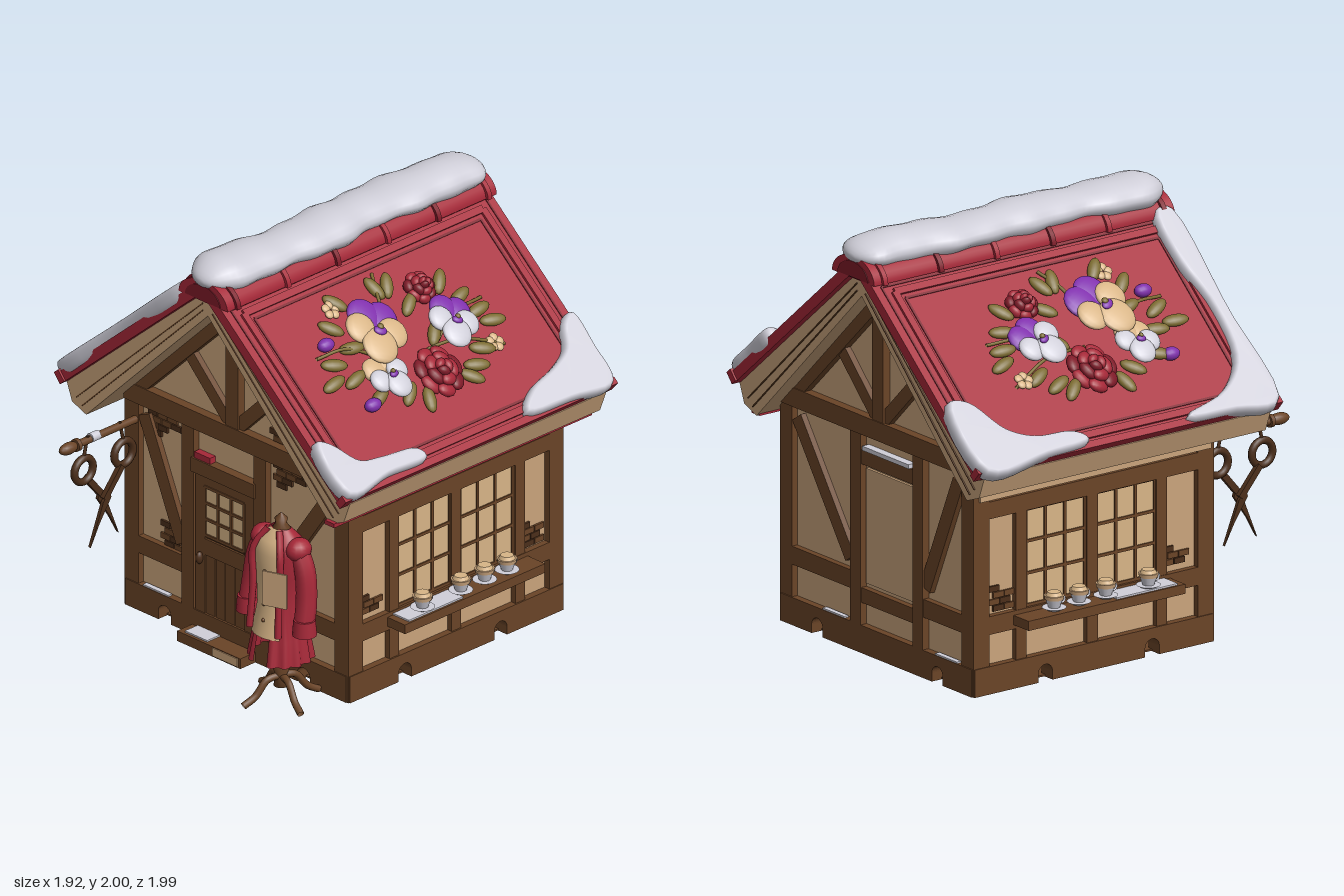
import * as THREE from 'three';
import { mergeVertices } from 'three/addons/utils/BufferGeometryUtils.js';

const mat = (name, color) => Object.assign(new THREE.MeshStandardMaterial({ color, side: THREE.DoubleSide }), { name });
const red = mat('roofRed', 0xa62838), darkRed = mat('darkRed', 0x7e1a28);
const timber = mat('timber', 0x6a4427), dark = mat('darkWood', 0x4b2e1a);
const plaster = mat('plaster', 0xcaa47c), cream = mat('cream', 0xd8b587);
const snow = mat('snow', 0xd0cfd9), purple = mat('purple', 0x8030ad), leafy = mat('leaf', 0x7a6a2f);

function add(parent, name, geo, material, x = 0, y = 0, z = 0) {
  const m = new THREE.Mesh(geo, material);
  m.name = name;
  m.position.set(x, y, z);
  parent.add(m);
  return m;
}
function group(parent, name, x = 0, y = 0, z = 0) {
  const g = new THREE.Group();
  g.name = name;
  g.position.set(x, y, z);
  parent.add(g);
  return g;
}
const box = (p, name, m, w, h, d, x, y, z) => add(p, name, new THREE.BoxGeometry(w, h, d), m, x, y, z);
const cyl = (p, name, m, r1, r2, h, x, y, z) => add(p, name, new THREE.CylinderGeometry(r1, r2, h, 16), m, x, y, z);
// flat bar between two points, standing out from the face plane z = 0
function bar(p, name, m, x1, y1, x2, y2, w, d = 0.035) {
  const b = box(p, name, m, Math.hypot(x2 - x1, y2 - y1), w, d, (x1 + x2) / 2, (y1 + y2) / 2, d / 2);
  b.rotation.z = Math.atan2(y2 - y1, x2 - x1);
  return b;
}
function extrude(points, depth, opts = {}) {
  return new THREE.ExtrudeGeometry(new THREE.Shape(points.map(a => new THREE.Vector2(...a))), { depth, bevelEnabled: false, ...opts });
}
function smooth(geo) {
  geo.deleteAttribute('uv');
  geo.deleteAttribute('normal');
  const g = mergeVertices(geo, 1e-4);
  g.computeVertexNormals();
  return g;
}
function blob(p, name, m, rx, ry, rz, x, y, z, rot = 0) {
  const b = add(p, name, new THREE.SphereGeometry(1, 14, 10), m, x, y, z);
  b.scale.set(rx, ry, rz);
  b.rotation.z = rot;
  return b;
}
function tube(p, name, m, pts, r) {
  const c = new THREE.CatmullRomCurve3(pts.map(a => new THREE.Vector3(...a)));
  return add(p, name, new THREE.TubeGeometry(c, 14, r, 8), m);
}
// ground beam with arched notches
function sill(face, half, notches, x = 0) {
  const s = new THREE.Shape();
  s.moveTo(-half, 0);
  for (const n of notches.sort((a, b) => a - b)) {
    s.lineTo(n - 0.04, 0);
    s.lineTo(n - 0.04, 0.04);
    s.absarc(n, 0.04, 0.04, Math.PI, 0, true);
    s.lineTo(n + 0.04, 0);
  }
  s.lineTo(half, 0); s.lineTo(half, 0.13); s.lineTo(-half, 0.13);
  add(face, 'groundBeam', new THREE.ExtrudeGeometry(s, { depth: 0.08, bevelEnabled: false, curveSegments: 8 }), timber, x, 0, -0.045);
}
function bricks(face, x, y, rows) {
  rows.forEach((n, r) => {
    for (let i = 0; i < n; i++) box(face, 'brick', (i + r) % 3 ? timber : dark, 0.058, 0.027, 0.014, x + i * 0.062 + (r % 2) * 0.025, y - r * 0.031, 0.004);
  });
}
function panes(face, x1, x2, y1, y2, cols, rows, z) {
  box(face, 'windowPane', cream, x2 - x1, y2 - y1, 0.01, (x1 + x2) / 2, (y1 + y2) / 2, z);
  for (let i = 0; i <= cols; i++) box(face, 'glazingBar', timber, 0.014, y2 - y1, 0.016, x1 + (x2 - x1) * i / cols, (y1 + y2) / 2, z + 0.004);
  for (let j = 0; j <= rows; j++) box(face, 'glazingBar', timber, x2 - x1, 0.014, 0.016, (x1 + x2) / 2, y1 + (y2 - y1) * j / rows, z + 0.004);
}

// framing shared by the front and back
function gableFace(root, name, z, back) {
  const f = group(root, name, 0.02, 0, z);
  if (back) f.rotation.y = Math.PI;
  const k = back ? -1 : 1;
  sill(f, 0.7, [-0.45 * k, 0.43 * k]);
  box(f, 'tieBeam', timber, 1.4, 0.09, 0.05, 0, 1.075, 0.02);
  const px = [-0.305, 0.15];
  for (const x of px) box(f, 'doorPost', timber, 0.075, 1.04, 0.04, x * k, 0.52, 0.015);
  for (const [a, b] of [[-0.62, px[0]], [px[1], 0.62]]) {
    bar(f, 'midRail', timber, a * k, 0.325, b * k, 0.325, 0.085, 0.03);
    box(f, 'beamSnow', snow, 0.16, 0.009, 0.025, (a * 0.65 + b * 0.35) * k, 0.133, 0.02);
  }
  bar(f, 'brace', timber, -0.59 * k, 0.98, -0.35 * k, 0.42, 0.075, 0.028);
  bar(f, 'brace', timber, 0.59 * k, 0.98, 0.2 * k, 0.42, 0.075, 0.028);
  // gable framing
  const g = group(f, 'gableFrame', -0.02 * k, 0, 0);
  box(g, 'kingPost', timber, 0.08, 0.62, 0.045, 0, 1.41, 0.018);
  for (const s of [-1, 1]) {
    bar(g, 'rafter', timber, s * 0.64, 1.08, 0, 1.7, 0.085, 0.04);
    bar(g, 'gableBrace', timber, s * 0.03, 1.13, s * 0.31, 1.41, 0.065, 0.03);
  }
  return f;
}

function sideFace(root, s) {
  const f = group(root, s > 0 ? 'leftWall' : 'rightWall', 0.02 + s * 0.68, 0, 0);
  f.rotation.y = s * Math.PI / 2;
  sill(f, 0.67, [-0.17 * s - 0.155 * s, 0.43 * s - 0.155 * s], 0.155 * s);
  bar(f, 'windowRail', timber, -0.5 * s, 0.32, 0.8 * s, 0.32, 0.085, 0.03);
  bar(f, 'topRail', timber, -0.5 * s, 0.86, 0.8 * s, 0.86, 0.08, 0.03);
  bar(f, 'wallPlate', plaster, -0.5 * s, 0.94, 0.8 * s, 0.94, 0.06, 0.04);
  for (const x of [-0.23, 0.16, 0.56]) box(f, 'windowPost', timber, 0.06, 0.72, 0.03, x * s, 0.47, 0.012);
  for (const x of [-0.035, 0.36]) panes(f, x * s - 0.165, x * s + 0.165, 0.37, 0.82, 3, 3, 0.006);
  bricks(f, s > 0 ? -0.4 : 0.28, 0.47, [1, 2, 2]);
  bricks(f, s > 0 ? 0.61 : -0.7, 0.48, [1, 2, 2, 2]);
  // shelf with cups
  box(f, 'shelf', timber, 0.88, 0.045, 0.13, 0.165 * s, 0.32, 0.075);
  box(f, 'shelfSnow', snow, 0.34, 0.009, 0.1, -0.07 * s, 0.346, 0.08);
  for (const x of [-0.11, 0.13, 0.28, 0.42]) {
    const c = group(f, 'cup', x * s, 0.347, 0.085);
    cyl(c, 'saucer', snow, 0.056, 0.03, 0.014, 0, 0.006, 0);
    cyl(c, 'cupBody', snow, 0.044, 0.026, 0.05, 0, 0.037, 0);
    cyl(c, 'cupBand', plaster, 0.046, 0.043, 0.018, 0, 0.06, 0);
    cyl(c, 'drink', cream, 0.03, 0.038, 0.016, 0, 0.077, 0);
    add(c, 'handle', new THREE.TorusGeometry(0.016, 0.005, 6, 12), snow, 0.044, 0.042, 0);
  }
}

function pansy(p, x, y, r, top, face, rot) {
  const g = group(p, 'pansy', x, y, 0.02);
  g.rotation.z = rot;
  for (const [a, d, w, z, m] of [[1.05, 0.55, 0.52, 0.01, top], [2.1, 0.55, 0.52, 0.015, top], [0, 0.5, 0.46, 0.03, face], [3.14, 0.5, 0.46, 0.035, face], [-1.57, 0.5, 0.55, 0.045, face]])
    blob(g, 'petal', m, r * w, r * w, 0.025, Math.cos(a) * r * d, Math.sin(a) * r * d, z);
  blob(g, 'flowerEye', purple, r * 0.2, r * 0.14, 0.012, 0, -r * 0.1, 0.066);
  blob(g, 'flowerCentre', leafy, r * 0.1, r * 0.1, 0.012, 0, 0, 0.072);
}
function rose(p, x, y, r) {
  const g = group(p, 'rose', x, y, 0.015);
  [[7, 0.68, 0.4, 0.01], [5, 0.4, 0.35, 0.035], [3, 0.16, 0.24, 0.055]].forEach(([n, d, w, z], ring) => {
    for (let i = 0; i < n; i++) {
      const a = i / n * Math.PI * 2 + ring;
      const q = blob(g, 'rosePetal', (i + ring) % 3 ? red : darkRed, r * w * 0.7, r * w, 0.025, Math.cos(a) * r * d, Math.sin(a) * r * d, z, a);
      q.rotation.y = 0.3;
    }
  });
}

function roofSide(root, s) {
  const f = group(root, s > 0 ? 'leftRoof' : 'rightRoof');
  // local x runs along the eave, y up the slope, z out of the roof
  const basis = new THREE.Matrix4().makeBasis(new THREE.Vector3(0, 0, -s), new THREE.Vector3(-s * 0.759, 0.652, 0), new THREE.Vector3(s * 0.652, 0.759, 0));
  f.quaternion.setFromRotationMatrix(basis);
  f.position.set(s * 0.92, 1.13, 0);
  box(f, 'roofPanel', red, 1.69, 1.11, 0.05, 0.125 * s, 0.575, -0.025);
  box(f, 'eaveTrim', red, 1.71, 0.035, 0.06, 0.125 * s, 0.02, -0.02);
  // moulded frame on the panel
  for (const [m, w, h, t, z] of [[red, 1.5, 0.92, 0.035, 0.008], [darkRed, 1.42, 0.84, 0.012, 0.003], [darkRed, 1.6, 1.0, 0.01, 0.003]]) {
    for (const e of [-1, 1]) {
      box(f, 'panelFrame', m, w, t, z * 2, 0.125 * s, 0.53 + e * h / 2, z / 2);
      box(f, 'panelFrame', m, t, h, z * 2, 0.125 * s + e * w / 2, 0.53, z / 2);
    }
  }
  // flower bouquet: leaf positions with direction
  const leaves = [[-0.42, 0.52, 3.3], [-0.36, 0.6, 2.7], [-0.3, 0.5, 3.4], [-0.26, 0.76, 2.3], [-0.22, 0.64, 2.9], [-0.16, 0.86, 2.2], [0.08, 0.85, 1.8], [0.15, 0.84, 1.1], [0.2, 0.72, 0.7], [0.42, 0.76, 0.9], [0.47, 0.66, 0.3], [0.52, 0.57, 0.1], [0.56, 0.5, -0.3], [0.42, 0.4, -0.5], [0.28, 0.3, -0.8], [0.34, 0.34, -0.4], [0.0, 0.28, -1.9], [-0.08, 0.34, -2.4], [-0.24, 0.38, -2.7], [0.23, 0.55, 0.9]];
  leaves.forEach(([x, y, a]) => {
    const ang = s > 0 ? a : Math.PI - a;
    blob(f, 'leaf', leafy, 0.065, 0.03, 0.02, x * s, y, 0.02, ang).rotation.y = -0.2;
  });
  for (const [x1, y1, x2, y2] of [[-0.1, 0.55, -0.42, 0.66], [0.2, 0.5, 0.58, 0.62], [0.1, 0.5, 0.55, 0.38], [0, 0.6, 0.12, 0.92]])
    tube(f, 'stem', leafy, [[x1 * s, y1, 0.012], [(x1 + x2) / 2 * s, (y1 + y2) / 2 + 0.04, 0.03], [x2 * s, y2, 0.012]], 0.008);
  pansy(f, -0.07 * s, 0.66, 0.165, purple, cream, -0.5 * s);
  pansy(f, 0.34 * s, 0.56, 0.135, purple, snow, -0.5 * s);
  pansy(f, -0.15 * s, 0.45, 0.12, cream, snow, 0.2 * s);
  rose(f, 0.13 * s, 0.38, 0.135);
  rose(f, 0.3 * s, 0.77, 0.085);
  for (const [x, y] of [[-0.34, 0.7], [-0.3, 0.36]]) blob(f, 'bud', purple, 0.045, 0.032, 0.03, x * s, y, 0.025);
  for (const [x, y] of [[0.5, 0.4], [-0.2, 0.84]])
    for (let i = 0; i < 5; i++) blob(f, 'smallPetal', cream, 0.022, 0.022, 0.012, x * s + Math.cos(i * 1.257) * 0.026, y + Math.sin(i * 1.257) * 0.026, 0.02);
  // snow drifts on the lower corners
  const drifts = s > 0
    ? [[[-0.7, 0.03], [-0.45, 0.05], [-0.22, 0.05], [-0.24, 0.085], [-0.42, 0.11], [-0.56, 0.14], [-0.65, 0.26], [-0.7, 0.29]],
      [[0.44, 0.05], [0.7, 0.03], [0.93, 0.02], [0.95, 0.2], [0.95, 0.37], [0.89, 0.34], [0.82, 0.23], [0.7, 0.17], [0.53, 0.12]]]
    : [[[0.22, 0.03], [0.45, 0.02], [0.68, 0.01], [0.69, 0.5], [0.69, 1.06], [0.63, 1.06], [0.61, 0.8], [0.65, 0.55], [0.61, 0.25], [0.45, 0.1]],
      [[-0.94, 0.0], [-0.6, 0.02], [-0.37, 0.04], [-0.42, 0.08], [-0.62, 0.1], [-0.75, 0.17], [-0.86, 0.34], [-0.94, 0.36]]];
  for (const d of drifts) {
    const loop = new THREE.CatmullRomCurve3(d.map(([x, y]) => new THREE.Vector3(x, y, 0)), true).getPoints(48).slice(0, -1);
    const geo = extrude(loop.map(v => [v.x, v.y]), 0.012, { bevelEnabled: true, bevelThickness: 0.035, bevelSize: 0.018, bevelSegments: 4 });
    add(f, 'snowDrift', smooth(geo), snow);
  }
}

function ridge(root) {
  // half-round ridge with dark ends and rings
  const half = (r, len) => new THREE.CylinderGeometry(r, r, len, 20, 1, false, Math.PI / 2, Math.PI).rotateX(Math.PI / 2).scale(1, 0.68, 1);
  add(root, 'ridgeRoll', half(0.155, 1.69), red, 0.01, 1.815, -0.125);
  add(root, 'ridgeEnd', half(0.11, 1.698), darkRed, 0.01, 1.82, -0.125);
  for (let i = 0; i < 6; i++) add(root, 'ridgeRing', half(0.17, 0.025), i % 2 ? red : darkRed, 0.01, 1.813, 0.66 - i * 0.315);
  const g = new THREE.CapsuleGeometry(0.145, 1.43, 8, 20, 48).rotateX(Math.PI / 2);
  const p = g.attributes.position;
  for (let i = 0; i < p.count; i++) {
    const z = p.getZ(i);
    p.setXYZ(i, p.getX(i) * (1 + 0.07 * Math.sin(z * 13) + 0.04 * Math.sin(z * 29)) + 0.012 * Math.sin(z * 7), p.getY(i) * (0.52 + 0.04 * Math.sin(z * 10 + 1) + 0.02 * Math.sin(z * 27)), z);
  }
  add(root, 'ridgeSnow', smooth(g), snow, 0.01, 1.92, -0.122);
}

function door(f) {
  const d = group(f, 'door', -0.075, 0, 0.01);
  box(d, 'doorSlab', dark, 0.37, 0.76, 0.02, 0, 0.44, 0);
  for (const x of [-0.155, 0.155]) box(d, 'doorStile', timber, 0.06, 0.75, 0.03, x, 0.44, 0.005);
  for (const [y, h] of [[0.79, 0.06], [0.46, 0.08], [0.09, 0.06]]) box(d, 'doorRail', timber, 0.3, h, 0.03, 0, y, 0.005);
  for (let i = 0; i < 4; i++) box(d, 'doorBoard', timber, 0.058, 0.32, 0.022, -0.095 + i * 0.063, 0.26, 0.004);
  panes(d, -0.125, 0.125, 0.52, 0.76, 3, 3, 0.012);
  blob(d, 'doorKnob', dark, 0.016, 0.03, 0.02, -0.15, 0.4, 0.03);
  box(f, 'lintel', timber, 0.4, 0.07, 0.05, -0.075, 0.85, 0.02);
  box(f, 'lintelCloth', red, 0.1, 0.03, 0.035, -0.21, 0.9, 0.02);
  box(f, 'doorStep', timber, 0.4, 0.05, 0.13, -0.075, 0.025, 0.065);
  box(f, 'stepStone', plaster, 0.16, 0.04, 0.009, 0.03, 0.026, 0.13);
  box(f, 'stepSnow', snow, 0.14, 0.009, 0.09, -0.17, 0.053, 0.07);
}

function coatStand(root) {
  const g = group(root, 'coatStand', 0.5, 0, 0.715);
  for (let i = 0; i < 4; i++) {
    const a = i * Math.PI / 2 + 0.3, c = Math.cos(a), s = Math.sin(a);
    tube(g, 'standFoot', timber, [[0, 0.13, 0], [c * 0.07, 0.12, s * 0.07], [c * 0.13, 0.05, s * 0.13], [c * 0.19, 0.016, s * 0.19]], 0.017);
  }
  const lathe = (pts, ...a) => new THREE.LatheGeometry(pts.map(q => new THREE.Vector2(...q)), ...a);
  add(g, 'standPost', lathe([[0, 0.07], [0.035, 0.08], [0.025, 0.13], [0.045, 0.18], [0.025, 0.22], [0.03, 0.4], [0.028, 0.84], [0.045, 0.86], [0.025, 0.885], [0.03, 0.91], [0, 0.94]], 16), timber);
  cyl(g, 'postCollar', snow, 0.034, 0.034, 0.09, 0, 0.315, 0);
  const shapeCoat = (geo, pleat) => {
    const p = geo.attributes.position;
    for (let i = 0; i < p.count; i++) {
      const y = p.getY(i), t = (y - 0.23) / 0.62, x = p.getX(i), z = p.getZ(i);
      const k = 1 + pleat * Math.max(0, 0.5 - t) * Math.cos(14 * Math.atan2(x, z));
      p.setXYZ(i, x * k, y, z * k * (1 - 0.3 * t));
    }
    geo.computeVertexNormals();
    return geo;
  };
  // coat open at the front, closed above by the vest
  const body = [[0.145, 0.23], [0.13, 0.35], [0.105, 0.5], [0.115, 0.65], [0.135, 0.76], [0.11, 0.82], [0.05, 0.87]];
  add(g, 'coatBody', shapeCoat(lathe(body, 56, 0.3, Math.PI * 2 - 0.6), 0.14), red);
  const vest = [[0.138, 0.36], [0.115, 0.5], [0.125, 0.65], [0.143, 0.76], [0.118, 0.82], [0.058, 0.868]];
  add(g, 'vest', shapeCoat(lathe(vest, 16, -0.7, 1.4), 0), cream);
  for (let i = 0; i < 4; i++) blob(g, 'button', timber, 0.009, 0.009, 0.009, 0, 0.44 + i * 0.08, 0.113 - i * 0.003);
  for (const s of [-1, 1]) {
    tube(g, 'lapel', red, [[s * 0.035, 0.87, 0.045], [s * 0.085, 0.77, 0.09], [s * 0.082, 0.6, 0.095], [s * 0.09, 0.38, 0.11]], 0.016);
    tube(g, 'sleeve', red, [[s * 0.1, 0.8, 0], [s * 0.15, 0.7, 0], [s * 0.17, 0.56, 0.01], [s * 0.175, 0.44, 0.03]], 0.048);
    blob(g, 'shoulder', red, 0.055, 0.055, 0.065, s * 0.11, 0.79, 0);
    cyl(g, 'cuff', red, 0.05, 0.056, 0.075, s * 0.178, 0.44, 0.03);
  }
  const tag = box(g, 'tag', plaster, 0.12, 0.17, 0.009, 0.1, 0.635, 0.14);
  tag.rotation.y = 0.35;
}

function scissorSign(root) {
  const g = group(root, 'scissorSign', -0.62, 0, 0.72);
  g.rotation.y = -Math.PI / 2; // local x points forward
  cyl(g, 'signPole', timber, 0.018, 0.018, 0.4, -0.01, 0.94, 0).rotation.z = Math.PI / 2;
  cyl(g, 'poleCollar', timber, 0.03, 0.03, 0.02, 0.17, 0.94, 0).rotation.z = Math.PI / 2;
  blob(g, 'poleTip', timber, 0.055, 0.028, 0.028, 0.22, 0.94, 0);
  cyl(g, 'poleSnow', snow, 0.022, 0.022, 0.05, 0.06, 0.945, 0).rotation.z = Math.PI / 2;
  for (const s of [-1, 1]) {
    add(g, 'scissorHandle', new THREE.TorusGeometry(0.058, 0.018, 8, 24), dark, s * 0.125, 0.8, 0);
    tube(g, 'hook', dark, [[s * 0.1, 0.96, 0], [s * 0.115, 0.9, 0], [s * 0.125, 0.855, 0]], 0.008);
    bar(g, 'scissorShank', dark, s * 0.1, 0.75, -s * 0.01, 0.62, 0.03, 0.024).position.z = s * 0.012;
    add(g, 'scissorBlade', extrude([[s * 0.02, 0.65], [-s * 0.02, 0.61], [-s * 0.1, 0.41], [-s * 0.045, 0.51], [s * 0.03, 0.62]], 0.016), dark, 0, 0, s * 0.012 - 0.008);
  }
}

export function createModel() {
  const root = new THREE.Group();
  root.name = 'tailorCottage';
  // plaster walls, floor and corner posts
  add(root, 'walls', extrude([[-0.66, 0.085], [0.7, 0.085], [0.7, 1.05], [0, 1.76], [-0.66, 1.1]], 1.29), plaster, 0, 0, -0.8);
  box(root, 'floor', timber, 1.32, 0.008, 1.25, 0.02, 0.006, -0.155);
  for (const x of [-0.645, 0.685]) for (const z of [0.475, -0.785]) box(root, 'cornerPost', timber, 0.09, 1.06, 0.09, x, 0.53, z);
  const front = gableFace(root, 'frontWall', 0.49, false);
  door(front);
  bricks(front, -0.55, 1.0, [3, 3, 2, 1]);
  bricks(front, 0.24, 1.01, [4, 3, 2, 1]);
  bricks(front, -0.47, 0.47, [1, 2, 2, 2]);
  bricks(front, 0.22, 1.17, [3, 2]);
  const back = gableFace(root, 'backWall', -0.8, true);
  for (const y of [0.27, 0.92]) box(back, 'backRail', timber, 0.42, 0.07, 0.035, 0.075, y, 0.013);
  box(back, 'backPanel', plaster, 0.35, 0.54, 0.015, 0.075, 0.595, 0.005);
  box(back, 'backRailSnow', snow, 0.34, 0.02, 0.04, 0.075, 0.965, 0.02);
  for (const s of [-1, 1]) { sideFace(root, s); roofSide(root, s); }
  // thick roof boarding with grain lines on both ends
  const edge = [[0.9, 1.105], [0, 1.85], [-0.9, 1.105], [-0.86, 1.0], [-0.77, 0.965], [0, 1.725], [0.77, 0.965], [0.86, 1.0]];
  add(root, 'roofBoarding', extrude(edge, 1.61), plaster, 0, 0, -0.93);
  for (const z of [0.676, -0.936]) for (const s of [-1, 1]) for (const t of [0.3, 0.65])
    bar(group(root, 'boardGrain', 0, 0, z), 'grainLine', timber, s * (0.86 - 0.1 * t), 1.06 - 0.09 * t, s * 0.03, 1.81 - 0.1 * t, 0.005, 0.008);
  box(root, 'eaveStrip', red, 0.06, 0.02, 1.62, 0.79, 0.975, -0.11);
  ridge(root);
  coatStand(root);
  scissorSign(root);
  return root;
}
